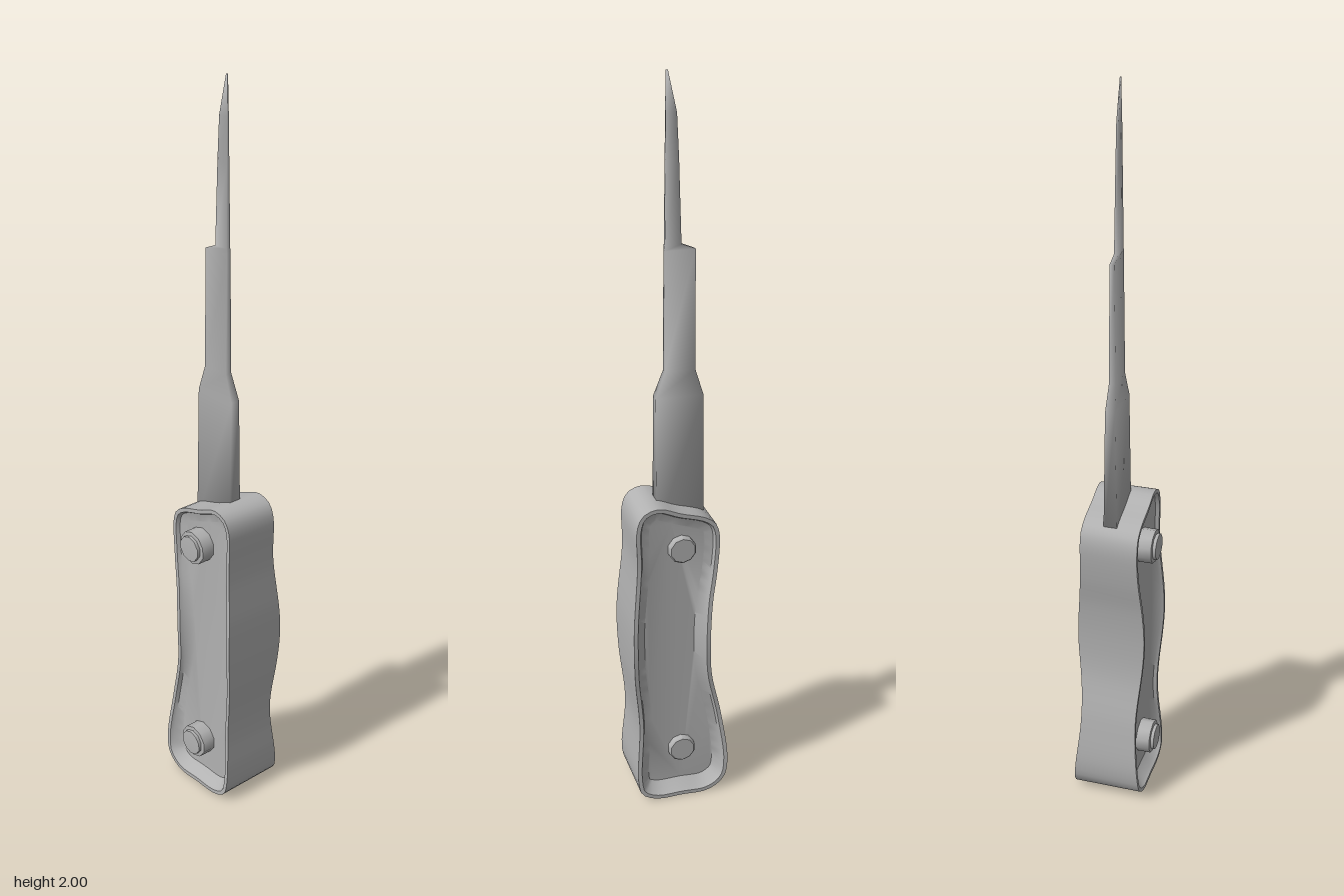
import * as THREE from 'three';
import { toCreasedNormals } from 'three/addons/utils/BufferGeometryUtils.js';

const steel = new THREE.MeshStandardMaterial({ color: 0xb2b2b2 });
steel.name = 'grey steel';

function mesh(name, geometry) {
  const m = new THREE.Mesh(geometry, steel);
  m.name = name;
  return m;
}

// Joins loops of equal length into a skin; each end is capped.
function loft(loops, crease) {
  const n = loops[0].length, index = [];
  for (let i = 0; i < loops.length - 1; i++) {
    for (let j = 0; j < n; j++) {
      const k = (j + 1) % n;
      const a = i * n + j, b = i * n + k, c = a + n, d = b + n;
      index.push(a, b, d, a, d, c);
    }
  }
  const last = (loops.length - 1) * n;
  const alongY = loops[0].every((p) => p.y === loops[0][0].y);
  const flat = loops[0].map((p) => (alongY ? new THREE.Vector2(p.z, p.x) : new THREE.Vector2(p.x, p.y)));
  for (const [a, b, c] of THREE.ShapeUtils.triangulateShape(flat, [])) {
    index.push(c, b, a, last + a, last + b, last + c);
  }
  const g = new THREE.BufferGeometry().setFromPoints(loops.flat());
  g.setIndex(index);
  return toCreasedNormals(g, crease);
}

// Grip outline, counter-clockwise seen from the front
const outline = new THREE.CatmullRomCurve3([
  [-0.097, 0.835], [-0.107, 0.8], [-0.107, 0.76], [-0.1, 0.69], [-0.086, 0.6],
  [-0.08, 0.49], [-0.086, 0.385], [-0.118, 0.24], [-0.135, 0.09], [-0.122, 0.035],
  [-0.075, 0.003], [0, 0.002], [0.075, 0.003], [0.117, 0.025], [0.127, 0.07],
  [0.118, 0.24], [0.133, 0.41], [0.135, 0.545], [0.12, 0.73], [0.119, 0.85],
  [0.102, 0.885], [0.06, 0.899], [0, 0.878], [-0.07, 0.856],
].map(([x, y]) => new THREE.Vector3(x, y, 0)), true, 'centripetal');

// Rim height swells at the foot and at the middle of the grip
function swell(y) {
  const knots = [[0, 1], [0.26, 0], [0.5, 0.9], [0.76, 0], [1, 0]];
  for (let i = 1; i < knots.length; i++) {
    const [y0, v0] = knots[i - 1], [y1, v1] = knots[i];
    if (y <= y1) return THREE.MathUtils.lerp(v0, v1, THREE.MathUtils.smoothstep(y, y0, y1));
  }
  return 0;
}
const frontRim = (y) => 0.071 + 0.015 * swell(y);
const backRim = (y) => -0.086 - 0.019 * swell(y);

// Grip: rims front and back, each with a lip sloping to a shallow floor
function makeGrip() {
  const pts = outline.getSpacedPoints(110).slice(0, -1);
  const n = pts.length;
  const ring = (inset, z) => pts.map((p, i) => {
    const t = pts[(i + 1) % n].clone().sub(pts[(i + n - 1) % n]).normalize();
    return new THREE.Vector3(p.x - t.y * inset, p.y + t.x * inset, z(p.y));
  });
  return loft([
    ring(0.038, () => -0.07), ring(0.016, (y) => backRim(y) + 0.01),
    ring(0.011, backRim), ring(0, backRim),
    ring(0, frontRim), ring(0.011, frontRim),
    ring(0.016, (y) => frontRim(y) - 0.01), ring(0.038, () => 0.055),
  ], 0.75);
}

// Blade sections: height, left x, right x, half thickness
function makeBlade() {
  const sections = [
    [0.8, -0.08, 0.051, 0.019], [1.18, -0.078, 0.05, 0.013],
    [1.25, -0.057, 0.024, 0.009], [1.565, -0.057, 0.023, 0.006],
    [1.58, -0.02, 0.022, 0.006], [1.79, -0.014, 0.02, 0.004],
    [1.9, -0.009, 0.019, 0.003], [2, 0.013, 0.018, 0.001],
  ];
  return loft(sections.map(([y, l, r, t]) => [
    [l, -t], [l, t], [r, t], [r, -t],
  ].map(([x, z]) => new THREE.Vector3(x, y, z - 0.01))), 1.6);
}

// Rivet: a stepped head at the front, a flat stud at the back
function makeRivet() {
  const profile = [
    [0, -0.089], [0.034, -0.089], [0.038, -0.085], [0.038, 0], [0.047, 0],
    [0.047, 0.093], [0.036, 0.094], [0.036, 0.103], [0, 0.105],
  ].map(([r, z]) => new THREE.Vector2(r, z));
  return toCreasedNormals(new THREE.LatheGeometry(profile, 10).rotateX(Math.PI / 2), 0.8);
}

export function createModel() {
  const group = new THREE.Group();
  group.name = 'knife';
  group.add(mesh('grip', makeGrip()), mesh('blade', makeBlade()));
  const rivet = makeRivet();
  [['upperRivet', 0.77], ['lowerRivet', 0.143]].forEach(([name, y]) => {
    const m = mesh(name, rivet);
    m.position.set(-0.005, y, 0);
    group.add(m);
  });
  return group;
}
